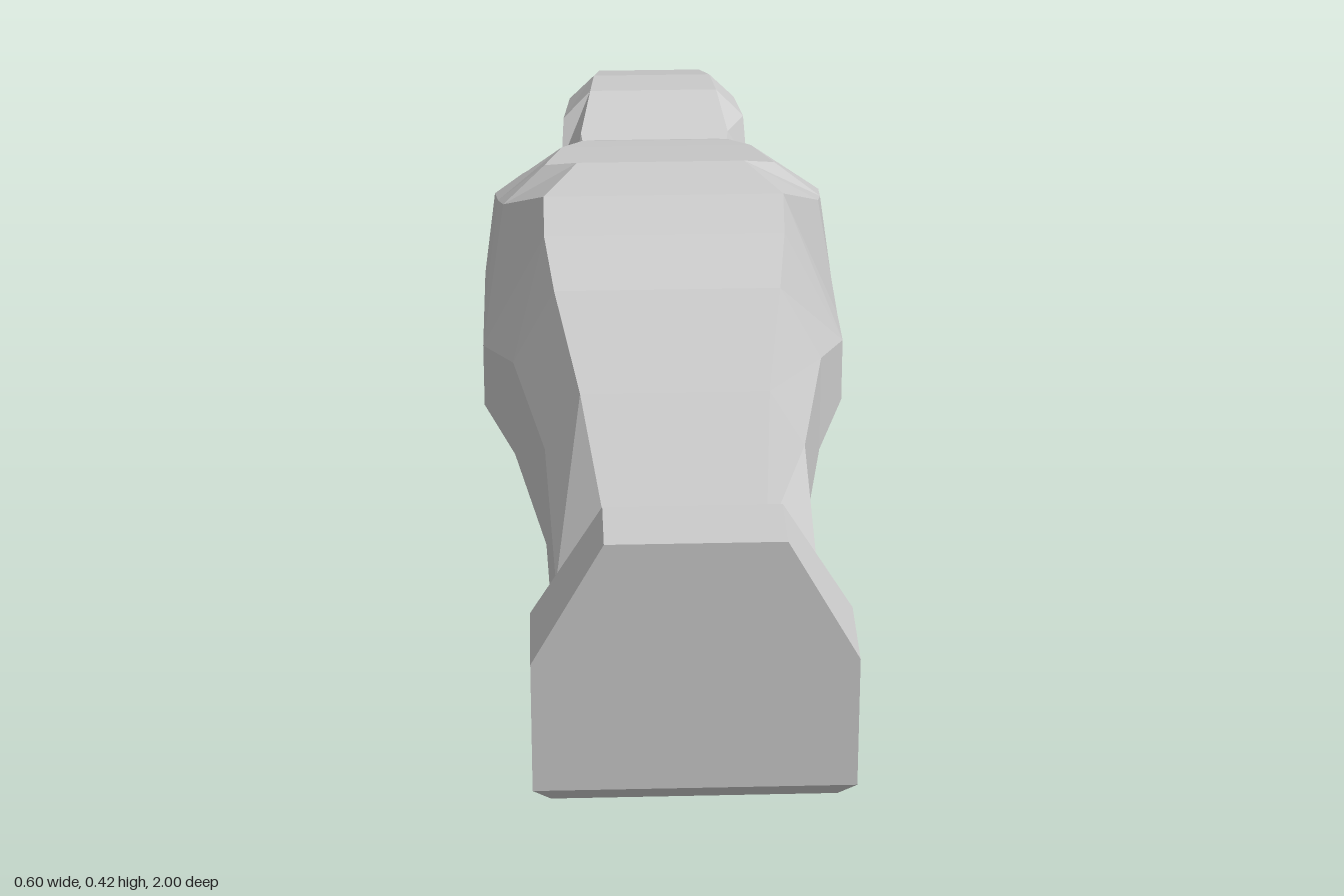
import * as THREE from 'three';

const material = new THREE.MeshStandardMaterial({ color: 0xcccccc, flatShading: true });
const BEVEL = 0.025;

// One cross-section: bevelled base, upright side, shoulder edge and top edge.
// side: [z, halfWidth, height]; top and shoulder: [x, y, z]; zBase: z of the base edge.
function section(side, top, shoulder = top, zBase = side[0]) {
  const [z, w, h] = side;
  const half = [[w - BEVEL, 0, zBase], [w, BEVEL, z], [w, h, z], shoulder, top];
  const mirrored = half.map(([x, y, pz]) => [-x, y, pz]).reverse();
  return [...half, ...mirrored];
}

// Joins sections running from front to back and closes both ends.
function loft(name, sections) {
  const n = sections[0].length;
  const last = (sections.length - 1) * n;
  const index = [];
  for (let s = 0; s < sections.length - 1; s++) {
    for (let i = 0; i < n; i++) {
      const a = s * n + i, b = s * n + (i + 1) % n;
      index.push(a, a + n, b, b, a + n, b + n);
    }
  }
  for (let i = 2; i < n - 2; i++) {
    index.push(1, i, i + 1);
    index.push(last + 1, last + i + 1, last + i);
  }
  // bevel along the bottom of each end
  index.push(0, 1, n - 2, 0, n - 2, n - 1);
  index.push(last, last + n - 2, last + 1, last, last + n - 1, last + n - 2);

  const geometry = new THREE.BufferGeometry();
  geometry.setAttribute('position', new THREE.Float32BufferAttribute(sections.flat(2), 3));
  geometry.setIndex(index);
  const flat = geometry.toNonIndexed();
  flat.computeVertexNormals();
  const mesh = new THREE.Mesh(flat, material);
  mesh.name = name;
  return mesh;
}

export function createModel() {
  const group = new THREE.Group();
  group.name = 'sarcophagus';

  // raised foot block, tapering legs, raised chest and rounded shoulders
  group.add(loft('body', [
    section([1, 0.222, 0.222], [0.122, 0.402, 1], undefined, 0.98),
    section([0.87, 0.222, 0.23], [0.122, 0.402, 0.89]),
    section([0.81, 0.2, 0.217], [0.12, 0.3, 0.82]),
    section([0.73, 0.186, 0.2], [0.112, 0.267, 0.73]),
    section([0.28, 0.2, 0.19], [0.145, 0.283, 0.28]),
    section([-0.04, 0.25, 0.19], [0.182, 0.315, -0.04]),
    section([-0.23, 0.302, 0.135], [0.197, 0.356, -0.17]),
    section([-0.23, 0.302, 0.135], [0.197, 0.408, -0.215]),
    section([-0.34, 0.302, 0.135], [0.14, 0.416, -0.345], [0.265, 0.345, -0.34]),
    section([-0.42, 0.302, 0.135], [0.195, 0.387, -0.41], [0.275, 0.32, -0.42]),
    section([-0.54, 0.302, 0.135], [0.165, 0.357, -0.57], [0.282, 0.285, -0.54]),
    section([-0.645, 0.247, 0.135], [0.13, 0.345, -0.63], [0.235, 0.285, -0.63]),
    section([-0.69, 0.16, 0.135], [0.11, 0.335, -0.66], [0.155, 0.285, -0.675]),
  ]));

  // head with sloping crown and chamfered back corners
  group.add(loft('head', [
    section([-0.62, 0.15, 0.25], [0.12, 0.3, -0.62]),
    section([-0.685, 0.165, 0.285], [0.13, 0.345, -0.67]),
    section([-0.72, 0.16, 0.355], [0.112, 0.402, -0.73]),
    section([-0.82, 0.148, 0.355], [0.104, 0.398, -0.82]),
    section([-0.96, 0.126, 0.31], [0.092, 0.355, -0.965]),
    section([-1, 0.085, 0.295], [0.08, 0.305, -1], undefined, -0.975),
  ]));

  return group;
}
